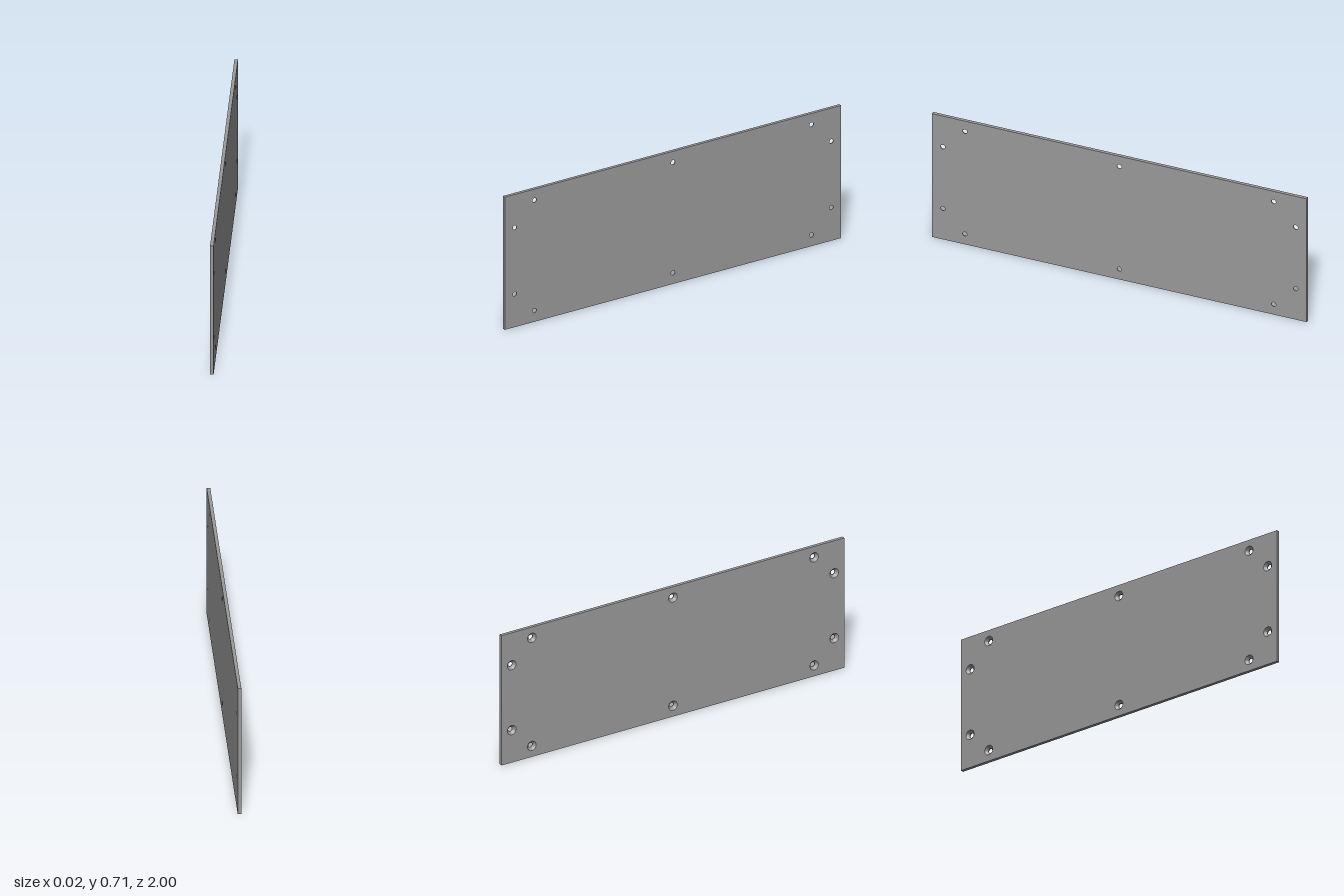
import * as THREE from 'three';
import { toCreasedNormals } from 'three/addons/utils/BufferGeometryUtils.js';

const LENGTH = 2, HEIGHT = 0.706, THICK = 0.0176;
const HOLE_R = 0.0118, SINK_R = 0.0253, SINK_DEPTH = SINK_R - HOLE_R;
const NEAR = 0.059, FAR = 0.1765; // hole distances from the plate edges

// Screw hole centres, mirrored about both middle lines
function holeCentres() {
  const centres = [];
  for (const sy of [-1, 1]) {
    for (const sx of [-1, 0, 1]) centres.push([sx * (LENGTH / 2 - FAR), sy * (HEIGHT / 2 - NEAR)]);
    for (const sx of [-1, 1]) centres.push([sx * (LENGTH / 2 - NEAR), sy * (HEIGHT / 2 - FAR)]);
  }
  return centres;
}

function plateGeometry() {
  const w = LENGTH / 2, h = HEIGHT / 2, centres = holeCentres();
  const shape = new THREE.Shape([[-w, -h], [w, -h], [w, h], [-w, h]].map(p => new THREE.Vector2(...p)));
  for (const [x, y] of centres) {
    shape.holes.push(new THREE.Path().absarc(x, y, HOLE_R, 0, Math.PI * 2, true));
  }
  const geo = new THREE.ExtrudeGeometry(shape, { depth: THICK, steps: 2, curveSegments: 32, bevelEnabled: false });

  // Countersinks: widen each hole on the -x face, the middle ring is where cone meets bore
  const pos = geo.attributes.position;
  for (let i = 0; i < pos.count; i++) {
    const x = pos.getX(i), y = pos.getY(i), z = pos.getZ(i);
    const c = centres.find(([cx, cy]) => Math.hypot(x - cx, y - cy) < HOLE_R * 1.2);
    if (!c) continue;
    if (z < THICK * 0.25) {
      const k = SINK_R / HOLE_R;
      pos.setXY(i, c[0] + (x - c[0]) * k, c[1] + (y - c[1]) * k);
    } else if (z < THICK * 0.75) {
      pos.setZ(i, SINK_DEPTH);
    }
  }
  geo.translate(0, HEIGHT / 2, -THICK / 2);
  geo.rotateY(Math.PI / 2);
  return toCreasedNormals(geo, Math.PI / 6);
}

export function createModel() {
  const group = new THREE.Group();
  group.name = 'mountingPanel';
  const plate = new THREE.Mesh(plateGeometry(), new THREE.MeshStandardMaterial({ color: 0x9a9a9a }));
  plate.name = 'countersunkPlate';
  group.add(plate);
  return group;
}
